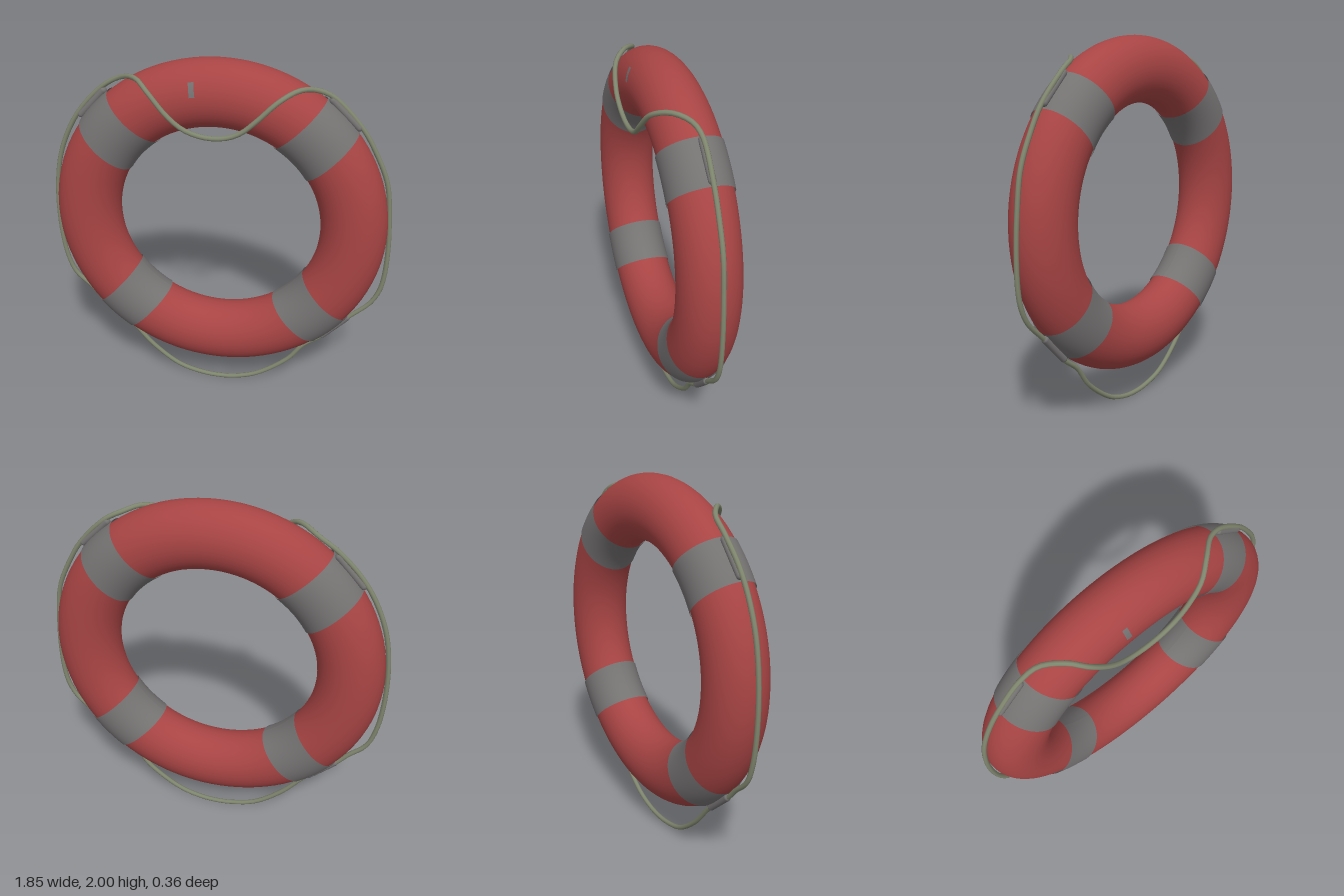
import * as THREE from 'three';

const CENTRE = new THREE.Vector3(0, 1.1, -0.015);
const RING = 0.725, HALF_RADIAL = 0.175, HALF_DEPTH = 0.156;

const red = new THREE.MeshStandardMaterial({ color: 0xa84444 });
red.name = 'red shell';
const grey = new THREE.MeshStandardMaterial({ color: 0x757272, side: THREE.DoubleSide });
grey.name = 'grey fabric';
const ropeGreen = new THREE.MeshStandardMaterial({ color: 0x7f866e });
ropeGreen.name = 'rope green';

function add(group, name, geometry, material) {
  const mesh = new THREE.Mesh(geometry, material);
  mesh.name = name;
  group.add(mesh);
  return mesh;
}

// Parallel-sided patch hugging the ring: width along the ring, phi around its section
function wrap(angle, width, phi0, phi1, lift, cols, rows) {
  const g = new THREE.PlaneGeometry(width, phi1 - phi0, cols, rows);
  const p = g.attributes.position;
  const c = Math.cos(angle), s = Math.sin(angle);
  for (let i = 0; i < p.count; i++) {
    const t = p.getX(i), phi = p.getY(i) + (phi0 + phi1) / 2;
    const rho = RING + (HALF_RADIAL + lift) * Math.cos(phi);
    const r = Math.sqrt(rho * rho - t * t);
    p.setXYZ(i, CENTRE.x + r * c - t * s, CENTRE.y + r * s + t * c,
      CENTRE.z + (HALF_DEPTH + lift) * Math.sin(phi));
  }
  g.computeVertexNormals();
  return g;
}

// Fabric sleeve holding the rope against the outside of a band
function sleeve(angle) {
  const g = new THREE.CapsuleGeometry(0.019, 0.19, 4, 12);
  g.rotateZ(angle);
  g.translate(0.914 * Math.cos(angle), CENTRE.y + 0.914 * Math.sin(angle), -0.018);
  return g;
}

export function createModel() {
  const model = new THREE.Group();
  model.name = 'lifebuoy';

  // Main ring, slightly flattened front to back
  const ring = new THREE.TorusGeometry(RING, HALF_RADIAL, 40, 112);
  ring.scale(1, 1, HALF_DEPTH / HALF_RADIAL);
  ring.translate(CENTRE.x, CENTRE.y, CENTRE.z);
  add(model, 'ring', ring, red);

  // Four bands with rope sleeves
  for (const [name, degrees] of [['topLeft', 46], ['topRight', 137], ['bottomRight', 227], ['bottomLeft', -43]]) {
    const angle = THREE.MathUtils.degToRad(degrees);
    add(model, name + 'Band', wrap(angle, 0.235, -Math.PI, Math.PI, 0.006, 12, 48), grey);
    add(model, name + 'Sleeve', sleeve(angle), grey);
  }

  // Small mark on the front of the ring
  add(model, 'frontMark', wrap(Math.atan2(0.78, -0.108), 0.028, 0.98, 1.41, 0.003, 2, 6), grey);

  // Grab rope: slack at the bottom, draped over the front at the top
  const Z = -0.018;
  const points = [
    [0, 1.652, 0.165], [0.07, 1.66, 0.165], [0.14, 1.69, 0.165], [0.22, 1.76, 0.163],
    [0.32, 1.855, 0.14], [0.41, 1.893, 0.07], [0.49, 1.878, 0.005], [0.57, 1.84, Z],
    [0.72, 1.69, Z], [0.8, 1.56, Z], [0.87, 1.4, Z], [0.9, 1.2, Z], [0.913, 1, Z],
    [0.908, 0.83, Z], [0.89, 0.74, Z], [0.85, 0.66, Z], [0.745, 0.555, Z],
    [0.595, 0.395, Z], [0.5, 0.32, Z], [0.41, 0.2, Z], [0.23, 0.065, Z], [0.1, 0.022, Z],
    [0, 0.013, Z], [-0.1, 0.022, Z], [-0.24, 0.065, Z], [-0.4, 0.19, Z],
    [-0.54, 0.355, Z], [-0.705, 0.505, Z], [-0.76, 0.57, Z], [-0.85, 0.66, Z],
    [-0.89, 0.77, Z], [-0.912, 0.95, Z], [-0.907, 1.2, Z], [-0.87, 1.41, Z],
    [-0.8, 1.58, Z], [-0.72, 1.7, Z], [-0.6, 1.82, Z], [-0.5, 1.877, 0],
    [-0.4, 1.9, 0.075], [-0.33, 1.86, 0.135], [-0.23, 1.755, 0.163],
    [-0.15, 1.69, 0.165], [-0.07, 1.66, 0.165],
  ].map((p) => new THREE.Vector3(...p));
  const path = new THREE.CatmullRomCurve3(points, true, 'centripetal');
  add(model, 'grabRope', new THREE.TubeGeometry(path, 180, 0.013, 8, true), ropeGreen);

  return model;
}
